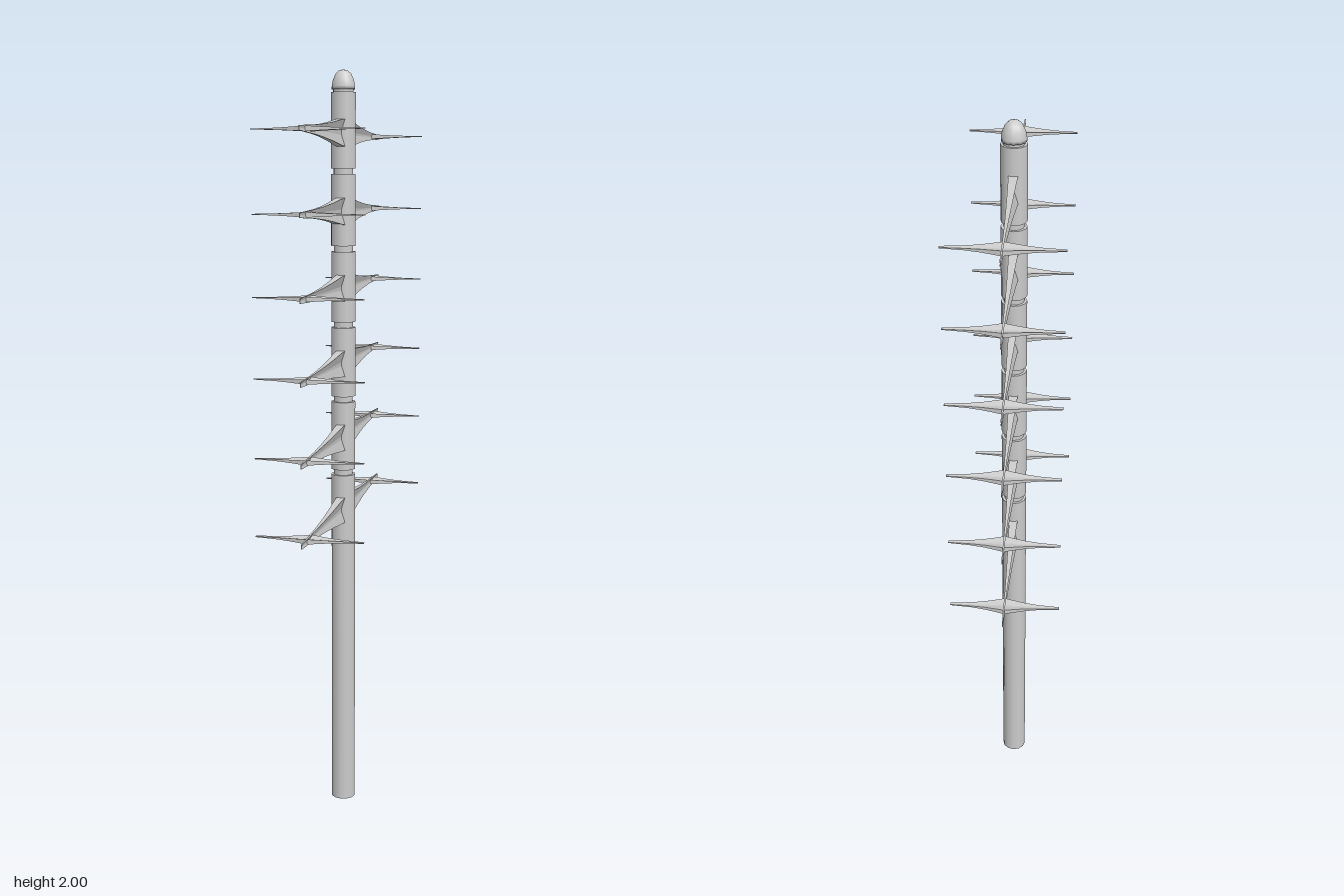
import * as THREE from 'three';

const SIDES = 12, R = 0.033;
const material = new THREE.MeshStandardMaterial({ color: 0xcccccc });

function add(parent, name, geometry, y = 0) {
  const mesh = new THREE.Mesh(geometry, material);
  mesh.name = name;
  mesh.position.y = y;
  parent.add(mesh);
  return mesh;
}

// Tapered beam along +z with a waisted cross-section.
// stations: [z, half width (x), half height (y)]
function waistedBeam(stations) {
  const section = [[1, -1], [0.25, -0.15], [0.25, 0.15], [1, 1], [-1, 1], [-0.25, 0.15], [-0.25, -0.15], [-1, -1]];
  const n = section.length, pos = [];
  const point = ([z, w, h], k) => [section[k % n][0] * w, section[k % n][1] * h, z];
  for (let i = 0; i < stations.length - 1; i++) {
    for (let k = 0; k < n; k++) {
      const a = point(stations[i], k), b = point(stations[i], k + 1);
      const c = point(stations[i + 1], k + 1), d = point(stations[i + 1], k);
      pos.push(...a, ...b, ...c, ...a, ...c, ...d);
    }
  }
  // End caps: upper trapezoid, waist and lower trapezoid
  for (const [s, flip] of [[stations[0], true], [stations[stations.length - 1], false]]) {
    for (const [a, b, c, d] of [[0, 1, 6, 7], [1, 2, 5, 6], [2, 3, 4, 5]]) {
      const quad = flip ? [a, c, b, a, d, c] : [a, b, c, a, c, d];
      quad.forEach((k) => pos.push(...point(s, k)));
    }
  }
  const g = new THREE.BufferGeometry();
  g.setAttribute('position', new THREE.Float32BufferAttribute(pos, 3));
  g.computeVertexNormals();
  return g;
}

export function createModel() {
  const model = new THREE.Group();
  model.name = 'antennaMast';

  // Lower mast, then short sections separated by recessed collars
  const section = (name, y0, y1, r = R) =>
    add(model, name, new THREE.CylinderGeometry(r, r, y1 - y0, SIDES), (y0 + y1) / 2);
  section('lowerMast', 0, 0.935);
  for (let i = 0; i < 5; i++) {
    const y = 0.95 + i * 0.2;
    section('collar', y - 0.025, y + 0.01, 0.026);
    section('mastSection', y, y + (i < 4 ? 0.185 : 0.193));
  }
  section('topCollar', 1.935, 1.955, 0.027);

  // Rounded cap
  const dome = [[0, 1.95], [0.031, 1.95], [0.031, 1.958], [0.028, 1.974], [0.021, 1.989], [0.011, 1.998], [0, 2]];
  add(model, 'cap', new THREE.LatheGeometry(dome.map(([x, y]) => new THREE.Vector2(x, y)), SIDES));

  // Arms with crossbars, mirrored front and back on six levels
  const armGeometry = waistedBeam([
    [0.012, 0.0125, 0.036], [0.07, 0.01, 0.031], [0.14, 0.0075, 0.023],
    [0.22, 0.005, 0.016], [0.3, 0.003, 0.011], [0.43, 0.0015, 0.006],
  ]);
  const barGeometry = waistedBeam([
    [0, 0.0065, 0.024], [0.025, 0.005, 0.018], [0.05, 0.0037, 0.0125],
    [0.085, 0.0022, 0.0075], [0.14, 0.001, 0.004],
  ]);
  // Lay the crossbar flat: length along +x, height along z
  barGeometry.rotateZ(Math.PI / 2).rotateY(Math.PI / 2);

  for (let level = 0; level < 6; level++) {
    for (const turn of [0, Math.PI]) {
      const branch = new THREE.Group();
      branch.name = turn ? 'backBranch' : 'frontBranch';
      branch.position.y = 0.84 + level * 0.2;
      branch.rotation.y = turn;
      add(branch, 'arm', armGeometry);
      for (const side of [0, Math.PI]) {
        const bar = add(branch, 'crossbarHalf', barGeometry);
        bar.position.z = 0.355;
        bar.rotation.y = side;
      }
      model.add(branch);
    }
  }
  return model;
}
